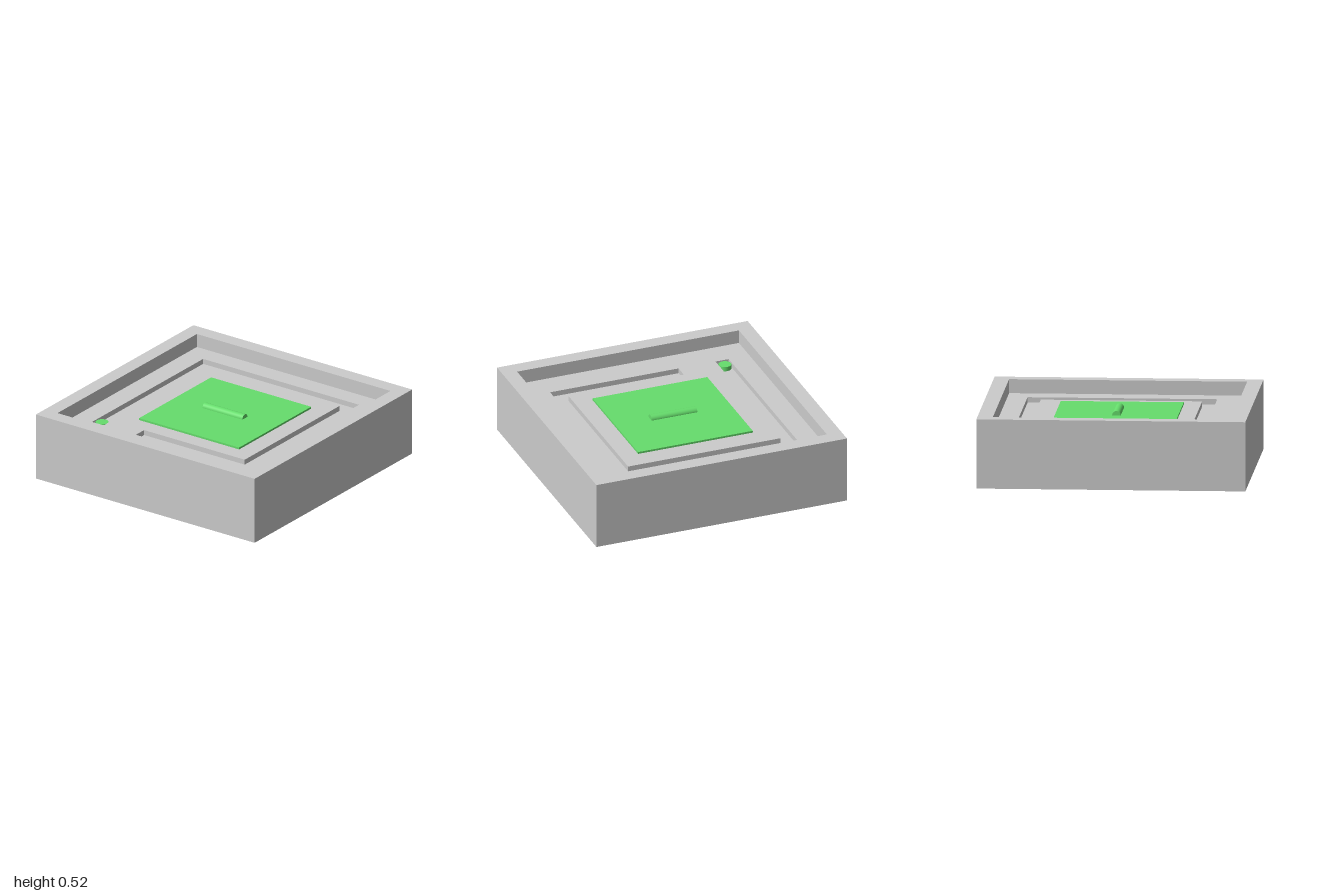
import * as THREE from 'three';

const grey = new THREE.MeshStandardMaterial({ color: 0xcccccc });
const green = new THREE.MeshStandardMaterial({ color: 0x66dd6c });

const HEIGHT = 0.52;   // rim
const FLOOR = 0.415;   // recessed floor
const TRACK = 0.375;   // bottom of the groove
const RECESS = 0.885;  // half width of the recess

function add(parent, name, geometry, material, x = 0, y = 0, z = 0) {
  const mesh = new THREE.Mesh(geometry, material);
  mesh.name = name;
  mesh.position.set(x, y, z);
  parent.add(mesh);
  return mesh;
}

const toPoints = (list) => list.map(([x, z]) => new THREE.Vector2(x, z));
const square = (h) => toPoints([[-h, -h], [h, -h], [h, h], [-h, h]]);

// Slab drawn in x/z with one hole, hanging down from y = 0
function slab(outline, hole, depth) {
  const shape = new THREE.Shape(outline);
  shape.holes.push(new THREE.Path(hole));
  return new THREE.ExtrudeGeometry(shape, { depth, bevelEnabled: false }).rotateX(Math.PI / 2);
}

export function createModel() {
  const model = new THREE.Group();
  model.name = 'trackTray';

  // Tray: outer walls, solid base and the floor pierced by the groove
  add(model, 'outerWall', slab(square(1), square(RECESS), HEIGHT), grey, 0, HEIGHT, 0);
  add(model, 'base', new THREE.BoxGeometry(2 * RECESS, TRACK, 2 * RECESS), grey, 0, TRACK / 2, 0);

  const groove = toPoints([
    [-0.675, -0.72], [0.735, -0.72], [0.735, 0.705], [-0.675, 0.705], [-0.675, -0.32],
    [-0.57, -0.32], [-0.57, 0.6], [0.63, 0.6], [0.63, -0.615], [-0.675, -0.615],
  ]);
  add(model, 'groovedFloor', slab(square(RECESS), groove, FLOOR - TRACK), grey, 0, FLOOR, 0);

  // Peg standing at the start of the groove
  const pegHeight = 0.035;
  add(model, 'peg', new THREE.CylinderGeometry(0.048, 0.048, pegHeight, 48), green,
    -0.62, TRACK + pegHeight / 2, -0.668);

  // Central lid with a half-sunk round handle
  const lid = new THREE.Group();
  lid.name = 'lid';
  lid.position.set(0.014, FLOOR, 0);
  add(lid, 'lidPlate', new THREE.BoxGeometry(0.915, 0.015, 0.915), green, 0, 0.0075, 0);
  add(lid, 'handle', new THREE.CylinderGeometry(0.032, 0.032, 0.365, 40).rotateX(Math.PI / 2), green,
    0, 0.015, -0.002);
  model.add(lid);

  return model;
}
